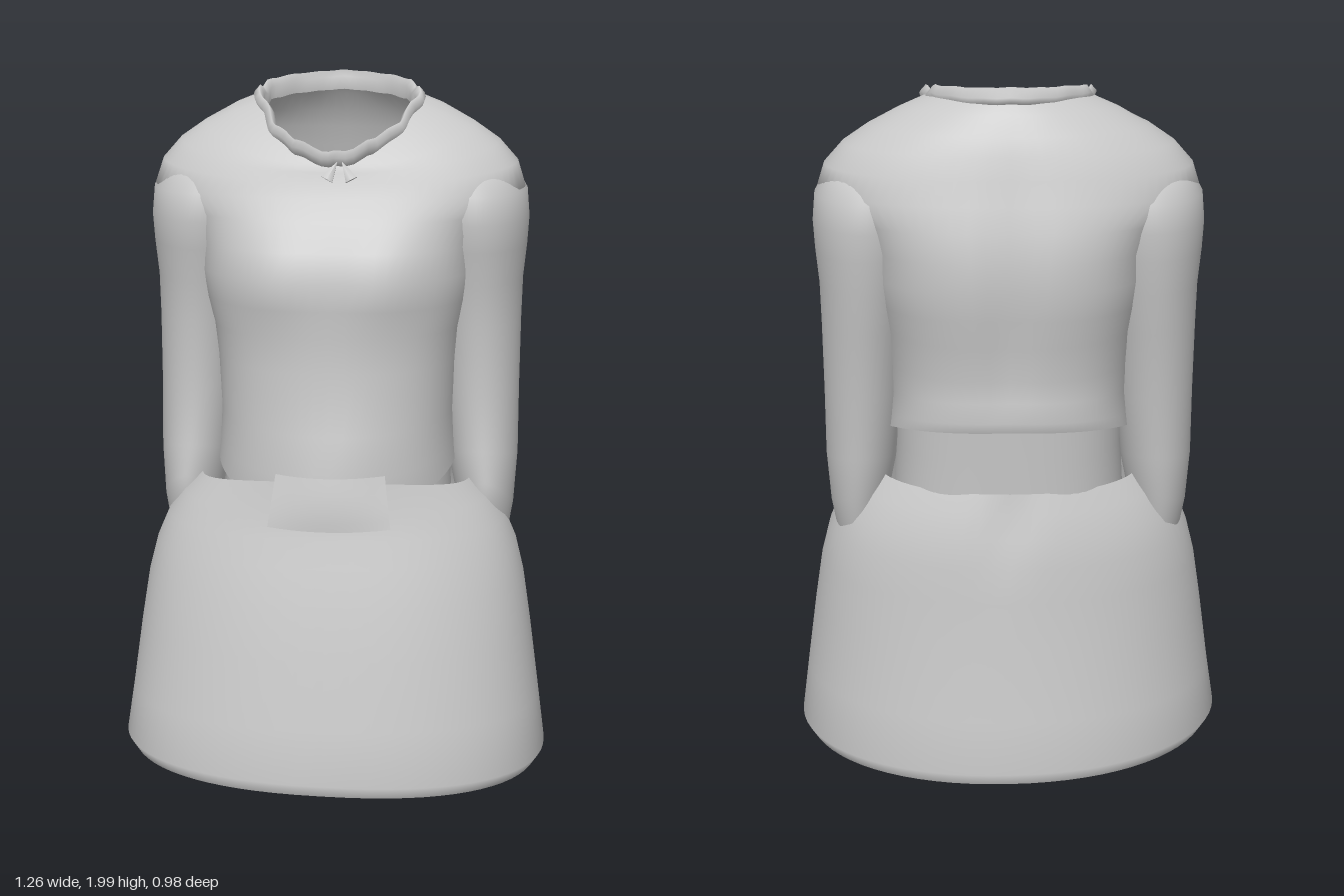
import * as THREE from 'three';

const cloth = new THREE.MeshStandardMaterial({ color: 0xc8c8c8, side: THREE.DoubleSide });
cloth.name = 'grey cloth';

const SEG = 72;
const bell = (v, centre, width) => Math.exp(-(((v - centre) / width) ** 2));
const spow = (v, p) => Math.sign(v) * Math.abs(v) ** p;

// Lofts closed rings, listed from bottom to top.
// ring: [ySide, yFront, yBack, xMin, xMax, zBack, zFront, zMiddle, roundness]
function loft(name, rings, { front = 2, back = 2, bendFront = 1.7, bendBack = 1.7, shape = () => {} } = {}) {
  const pos = [], index = [], p = new THREE.Vector3();
  rings.forEach(([yS, yF, yB, x0, x1, zB, zF, zM = (zB + zF) / 2, round]) => {
    for (let j = 0; j < SEG; j++) {
      const a = (j / SEG) * Math.PI * 2, c = Math.cos(a), s = Math.sin(a);
      const e = 2 / (round ?? (s > 0 ? front : back));
      const t = Math.abs(s) ** (s > 0 ? bendFront : bendBack);
      p.set(
        (x0 + x1) / 2 + ((x1 - x0) / 2) * spow(c, e),
        yS + ((s > 0 ? yF : yB) - yS) * t,
        zM + (s > 0 ? zF - zM : zM - zB) * spow(s, e)
      );
      shape(p, s, a);
      pos.push(p.x, p.y, p.z);
    }
  });
  for (let i = 0; i < rings.length - 1; i++) {
    for (let j = 0; j < SEG; j++) {
      const k = (j + 1) % SEG, r = i * SEG, q = r + SEG;
      index.push(r + j, q + j, r + k, q + j, q + k, r + k);
    }
  }
  const g = new THREE.BufferGeometry();
  g.setAttribute('position', new THREE.Float32BufferAttribute(pos, 3));
  g.setIndex(index);
  g.computeVertexNormals();
  const mesh = new THREE.Mesh(g, cloth);
  mesh.name = name;
  return mesh;
}

// Level ring, symmetric in x
const level = (y, w, zB, zF, zM) => [y, y, y, -w, w, zB, zF, zM];

function createSkirt() {
  return loft('skirt', [
    level(0.015, 0.605, -0.475, 0.475, 0.03),
    level(0.05, 0.628, -0.49, 0.49, 0.03),
    level(0.2, 0.607, -0.465, 0.458, 0.03),
    level(0.4, 0.58, -0.435, 0.415, 0.02),
    level(0.55, 0.557, -0.418, 0.378, 0.01),
    level(0.65, 0.532, -0.408, 0.35, 0),
    level(0.73, 0.498, -0.395, 0.327, 0),
    level(0.8, 0.45, -0.377, 0.31, 0),
    [0.85, 0.895, 0.86, -0.395, 0.395, -0.36, 0.297, 0]
  ], {
    front: 2.35, back: 2.1,
    shape: (p, s) => {
      if (p.y < 0.06) p.y -= 0.02 * p.x;                                    // tilted hem
      if (s < 0) p.z += 0.015 * bell(p.x, 0, 0.06) * bell(p.y, 0.76, 0.1);  // rear crease
    }
  });
}

// Body of the shirt, widening into the shoulders over the sleeve tops
function createShirt() {
  return loft('shirt', [
    [0.9, 0.8, 1.055, -0.35, 0.35, -0.4, 0.285, -0.05],
    [0.95, 0.9, 1.085, -0.345, 0.345, -0.41, 0.29, -0.05],
    [1.05, 1.02, 1.14, -0.34, 0.34, -0.402, 0.277, -0.05],
    level(1.2, 0.348, -0.4, 0.267, -0.05),
    level(1.3, 0.36, -0.412, 0.262, -0.05),
    level(1.38, 0.382, -0.425, 0.262, -0.05),
    level(1.46, 0.4, -0.432, 0.26, -0.06),
    level(1.54, 0.408, -0.428, 0.237, -0.07),
    level(1.62, 0.45, -0.413, 0.192, -0.08),
    [1.69, 1.68, 1.69, -0.537, 0.537, -0.39, 0.16, -0.09, 2.25],
    [1.76, 1.72, 1.76, -0.515, 0.515, -0.368, 0.143, -0.1, 2.2],
    [1.82, 1.75, 1.82, -0.462, 0.462, -0.35, 0.133, -0.1, 2.15],
    [1.87, 1.765, 1.87, -0.39, 0.39, -0.328, 0.128, -0.1, 2.1],
    [1.91, 1.775, 1.925, -0.305, 0.305, -0.297, 0.122, -0.09, 2],
    [1.94, 1.785, 1.96, -0.225, 0.225, -0.265, 0.115, -0.08, 1.8]
  ], {
    front: 2.35, back: 2.6, bendFront: 1.5, bendBack: 0.3,
    shape: (p, s) => {
      if (s > 0) {
        const chest = bell(p.x, 0.17, 0.13) + bell(p.x, -0.17, 0.13);
        p.z += s * 0.028 * chest * bell(p.y, 1.46, 0.11);                   // chest
        p.z += s * 0.045 * bell(p.x, 0, 0.17) * bell(p.y, 0.87, 0.12);      // belly
      } else {
        p.z += -s * 0.018 * bell(p.x, 0, 0.06) * bell(p.y, 1.4, 0.32);      // spine groove
      }
    }
  });
}

// Inner layer seen between the short back of the shirt and the skirt
function createUnderlayer() {
  return loft('underlayer', [
    level(0.78, 0.335, -0.352, 0.24, -0.05),
    level(0.95, 0.325, -0.358, 0.24, -0.05),
    level(1.16, 0.325, -0.368, 0.235, -0.05)
  ], { front: 2.3, back: 2.6 });
}

// Sleeve with its inner side buried in the shirt and a slanting cuff
function createSleeve(side) {
  const rings = [
    [0.66, 0.79, 0.71, 0.37, 0.505, -0.19, 0.075],
    [0.75, 0.84, 0.79, 0.355, 0.52, -0.21, 0.08],
    [0.9, 0.93, 0.92, 0.325, 0.53, -0.23, 0.065],
    [1.1, 1.1, 1.1, 0.305, 0.53, -0.245, 0.05],
    [1.3, 1.3, 1.3, 0.285, 0.532, -0.28, 0.06],
    [1.42, 1.42, 1.42, 0.265, 0.535, -0.3, 0.075],
    [1.52, 1.52, 1.52, 0.245, 0.545, -0.315, 0.095],
    [1.6, 1.6, 1.6, 0.23, 0.55, -0.322, 0.108],
    [1.68, 1.68, 1.68, 0.225, 0.543, -0.318, 0.1],
    [1.74, 1.74, 1.74, 0.225, 0.51, -0.28, 0.06],
    [1.78, 1.78, 1.78, 0.24, 0.45, -0.22, 0]
  ].map(([a, b, c, x0, x1, ...z]) => side > 0 ? [a, b, c, x0, x1, ...z] : [a, b, c, -x1, -x0, ...z]);
  return loft(side > 0 ? 'leftSleeve' : 'rightSleeve', rings);
}

function createCollar() {
  return loft('collar', [
    [1.925, 1.77, 1.95, -0.23, 0.23, -0.278, 0.128, -0.08],
    [1.95, 1.795, 1.97, -0.24, 0.24, -0.293, 0.15, -0.08],
    [1.967, 1.815, 1.995, -0.225, 0.225, -0.265, 0.135, -0.08],
    [1.945, 1.795, 1.978, -0.21, 0.21, -0.248, 0.108, -0.08],
    [1.91, 1.77, 1.94, -0.212, 0.212, -0.252, 0.103, -0.08]
  ], {
    front: 1.85, back: 1.75, bendFront: 1.25, bendBack: 0.9,
    shape: (p, s, a) => {                                                   // crumpled edge
      const fold = s > -0.5 ? 1 : 0.2;
      p.y += fold * 0.005 * (Math.sin(a * 7) + Math.sin(a * 16 + 2));
      p.x += fold * 0.005 * (Math.sin(a * 5 + 1) + Math.sin(a * 12));
    }
  });
}

// Square tail hanging from the shirt over the skirt
function createFrontTail() {
  const g = new THREE.PlaneGeometry(1, 1, 10, 6), pos = g.attributes.position;
  for (let i = 0; i < pos.count; i++) {
    const t = 0.5 - pos.getY(i), u = pos.getX(i);
    const x = 0.007 + u * (0.31 + 0.04 * t);
    const z = 0.331 + 0.023 * Math.sin(t * Math.PI / 2);
    pos.setXYZ(i, x, 0.915 - 0.15 * t + 0.02 * t * u * u, z - (1.85 - t) * x * x);
  }
  g.computeVertexNormals();
  const mesh = new THREE.Mesh(g, cloth);
  mesh.name = 'frontTail';
  return mesh;
}

// Small loose ends below the point of the collar
function createCollarTies() {
  const group = new THREE.Group();
  group.name = 'collarTies';
  for (const side of [-1, 1]) {
    const tie = new THREE.Mesh(new THREE.ConeGeometry(0.02, 0.06, 6), cloth);
    tie.name = 'collarTie';
    tie.scale.z = 0.4;
    tie.position.set(0.02 + side * 0.02, 1.76, 0.145);
    tie.rotation.set(-0.3, 0, side * 0.5);
    group.add(tie);
  }
  return group;
}

export function createModel() {
  const model = new THREE.Group();
  model.name = 'outfit';
  model.add(createSkirt(), createShirt(), createUnderlayer(), createSleeve(1), createSleeve(-1),
    createCollar(), createFrontTail(), createCollarTies());
  return model;
}
